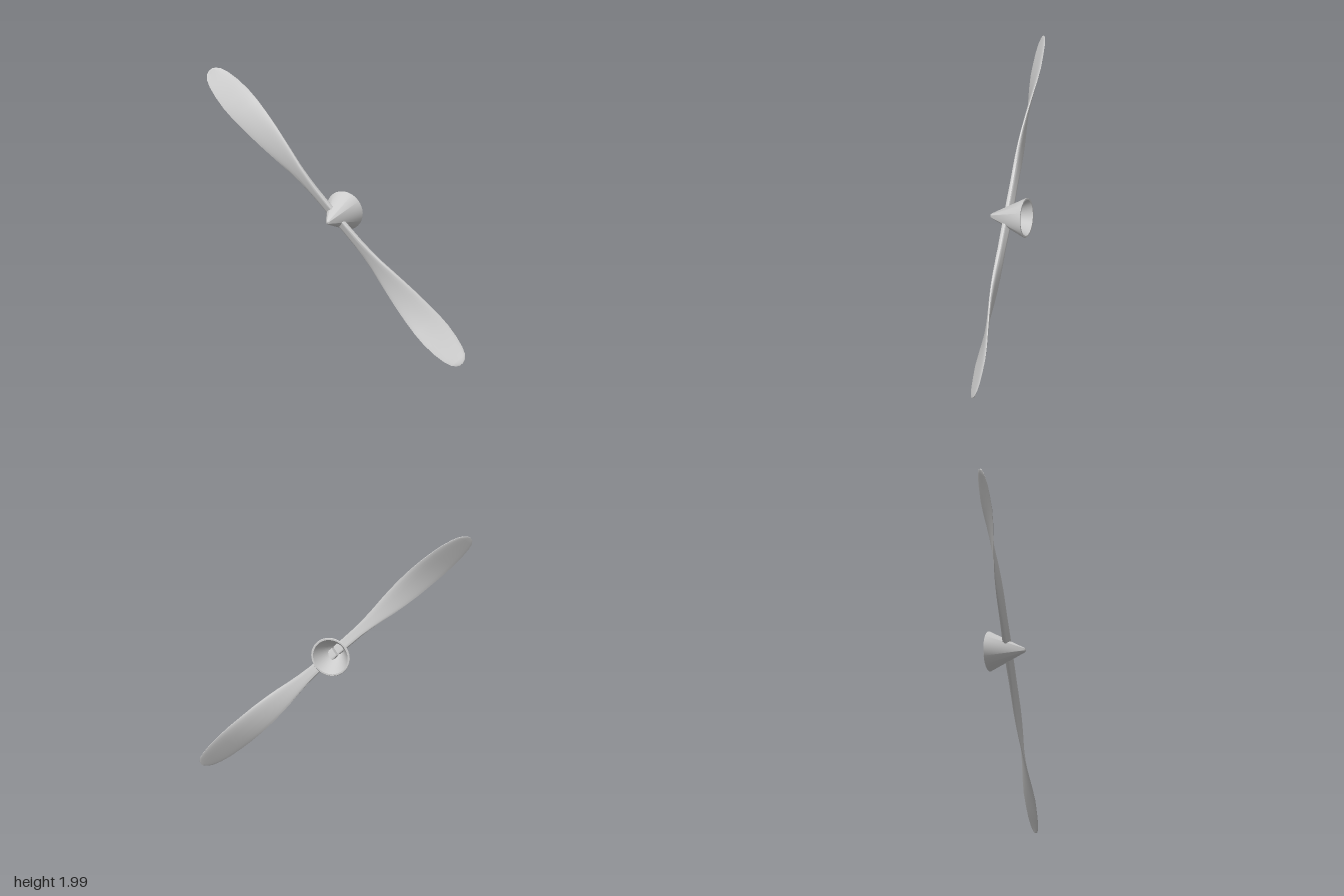
import * as THREE from 'three';
import { toCreasedNormals } from 'three/addons/utils/BufferGeometryUtils.js';

const material = new THREE.MeshStandardMaterial({ color: 0xcccccc });

// Blade stations: distance from axis, half width, sideways shift, pitch (degrees), half thickness
const STATIONS = [
  [0.008, 0.032, 0, -20, 0.016],
  [0.12, 0.034, 0, -19, 0.016],
  [0.24, 0.037, 0, -15, 0.015],
  [0.34, 0.045, 0, -11, 0.014],
  [0.44, 0.056, 0, -6, 0.013],
  [0.54, 0.070, 0, 1, 0.012],
  [0.64, 0.081, 0, 8, 0.011],
  [0.76, 0.090, 0, 17, 0.010],
  [0.88, 0.094, 0, 25, 0.009],
  [1.0, 0.095, 0.002, 32, 0.008],
  [1.1, 0.091, 0.004, 36, 0.007],
  [1.2, 0.082, 0.006, 37, 0.006],
  [1.28, 0.068, 0.009, 38, 0.005],
  [1.335, 0.051, 0.012, 38, 0.004],
  [1.362, 0.032, 0.013, 38, 0.004],
  [1.374, 0.013, 0.011, 38, 0.003],
];
const SIDES = 20;

// Twisted blade along +x: boxy at the root, a thin aerofoil further out.
// hand = 1 or -1 sets the sense of the twist and which edge is thicker.
function bladeGeometry(hand) {
  const positions = [], index = [];
  for (const [u, half, shift, pitch, thick] of STATIONS) {
    const p = THREE.MathUtils.degToRad(pitch) * hand;
    const chord = half / Math.cos(p);
    const outer = Math.min(u / 0.6, 1);
    const power = THREE.MathUtils.lerp(0.25, 0.8, outer);
    const skew = 0.45 * outer * hand;
    const bend = (v) => Math.sign(v) * Math.pow(Math.abs(v), power);
    for (let i = 0; i < SIDES; i++) {
      const a = ((i + 0.5) / SIDES) * Math.PI * 2;
      const k = bend(Math.cos(a));
      const c = k * chord;
      const t = bend(Math.sin(a)) * thick * (1 - skew * k);
      positions.push(u, shift + c * Math.cos(p) - t * Math.sin(p), c * Math.sin(p) + t * Math.cos(p));
    }
  }
  const rings = STATIONS.length;
  for (let r = 0; r < rings - 1; r++) {
    for (let i = 0; i < SIDES; i++) {
      const a = r * SIDES + i, b = r * SIDES + (i + 1) % SIDES;
      index.push(a, b, b + SIDES, a, b + SIDES, a + SIDES);
    }
  }
  // End caps
  const last = (rings - 1) * SIDES;
  for (let i = 1; i < SIDES - 1; i++) {
    index.push(0, i + 1, i, last, last + i, last + i + 1);
  }
  const g = new THREE.BufferGeometry();
  g.setAttribute('position', new THREE.Float32BufferAttribute(positions, 3));
  g.setIndex(index);
  return toCreasedNormals(g, 0.6);
}

// Hollow cone, open at the back, with a blunt nose
function spinnerGeometry() {
  const profile = [
    [0, 0.115], [0.128, -0.131], [0.140, -0.131], [0.143, -0.127],
    [0.019, 0.128], [0.012, 0.139], [0, 0.142],
  ].map(([r, z]) => new THREE.Vector2(r, z));
  const g = new THREE.LatheGeometry(profile, 40);
  g.rotateX(Math.PI / 2);
  return toCreasedNormals(g, 0.9);
}

export function createModel() {
  const model = new THREE.Group();
  model.name = 'propeller';

  // Spinner leans slightly nose-down
  const spinner = new THREE.Mesh(spinnerGeometry(), material);
  spinner.name = 'spinner';
  spinner.position.y = 1.003;
  spinner.rotation.x = 0.09;
  model.add(spinner);

  // Opposite blades, twisted in mirrored senses
  const blades = new THREE.Group();
  blades.name = 'blades';
  blades.position.set(0, 1.0, 0.01);
  blades.rotation.x = 0.08;
  model.add(blades);
  [['rightBlade', 1], ['leftBlade', -1]].forEach(([name, hand], i) => {
    const blade = new THREE.Mesh(bladeGeometry(hand), material);
    blade.name = name;
    blade.rotation.z = THREE.MathUtils.degToRad(133.9) + i * Math.PI;
    blades.add(blade);
  });

  return model;
}
